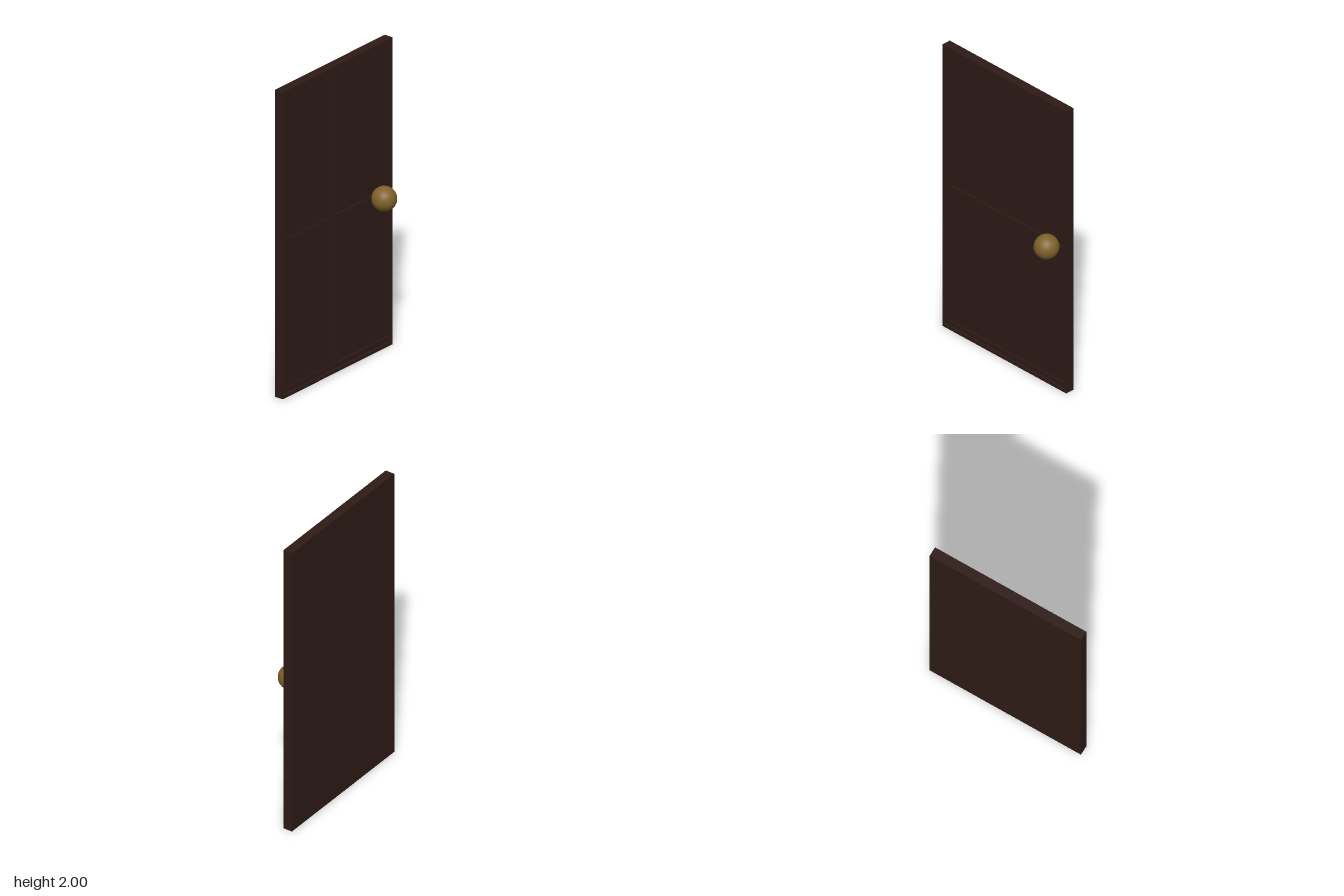
import * as THREE from 'three';

const wood = new THREE.MeshStandardMaterial({ color: 0x2e1b17 });
const brass = new THREE.MeshStandardMaterial({ color: 0x80622a });

const W = 0.525, H = 2; // half width, height
const BACK = -0.09, PANEL = -0.052, INNER = -0.042, FACE = -0.028; // depths along x

// Rectangle in the door's own plane: u runs along -z, v runs up
function rect(Type, u0, u1, v0, v1) {
  const path = new Type();
  path.moveTo(u0, v0);
  path.lineTo(u1, v0);
  path.lineTo(u1, v1);
  path.lineTo(u0, v1);
  path.closePath();
  return path;
}

// Board with rectangular openings, reaching from x0 to x1
function board(name, outline, openings, x0, x1) {
  const shape = rect(THREE.Shape, ...outline);
  shape.holes = openings.map((o) => rect(THREE.Path, ...o));
  const geometry = new THREE.ExtrudeGeometry(shape, { depth: x1 - x0, bevelEnabled: false });
  geometry.rotateY(Math.PI / 2).translate(x0, 0, 0);
  const mesh = new THREE.Mesh(geometry, wood);
  mesh.name = name;
  return mesh;
}

export function createModel() {
  const door = new THREE.Group();
  door.name = 'door';

  const full = [-W, W, 0, H];
  const rim = [-0.515, 0.515, 0.02, 1.98];

  // Four recessed panels
  const panels = [];
  for (const [v0, v1] of [[0.053, 0.98], [1.018, 1.957]]) {
    panels.push([-0.505, -0.009, v0, v1], [0.009, 0.505, v0, v1]);
  }

  // Flat back, stepped frame with cross bars, raised outer rim
  door.add(board('doorSlab', full, [], BACK, PANEL));
  door.add(board('panelFrame', full, panels, PANEL, INNER));
  door.add(board('outerRim', full, [rim], INNER, FACE));

  // Round knob, partly sunk into the door
  const knob = new THREE.Mesh(new THREE.SphereGeometry(0.078, 32, 24), brass);
  knob.name = 'doorKnob';
  knob.position.set(0.01, 1.003, -0.396);
  door.add(knob);

  return door;
}
